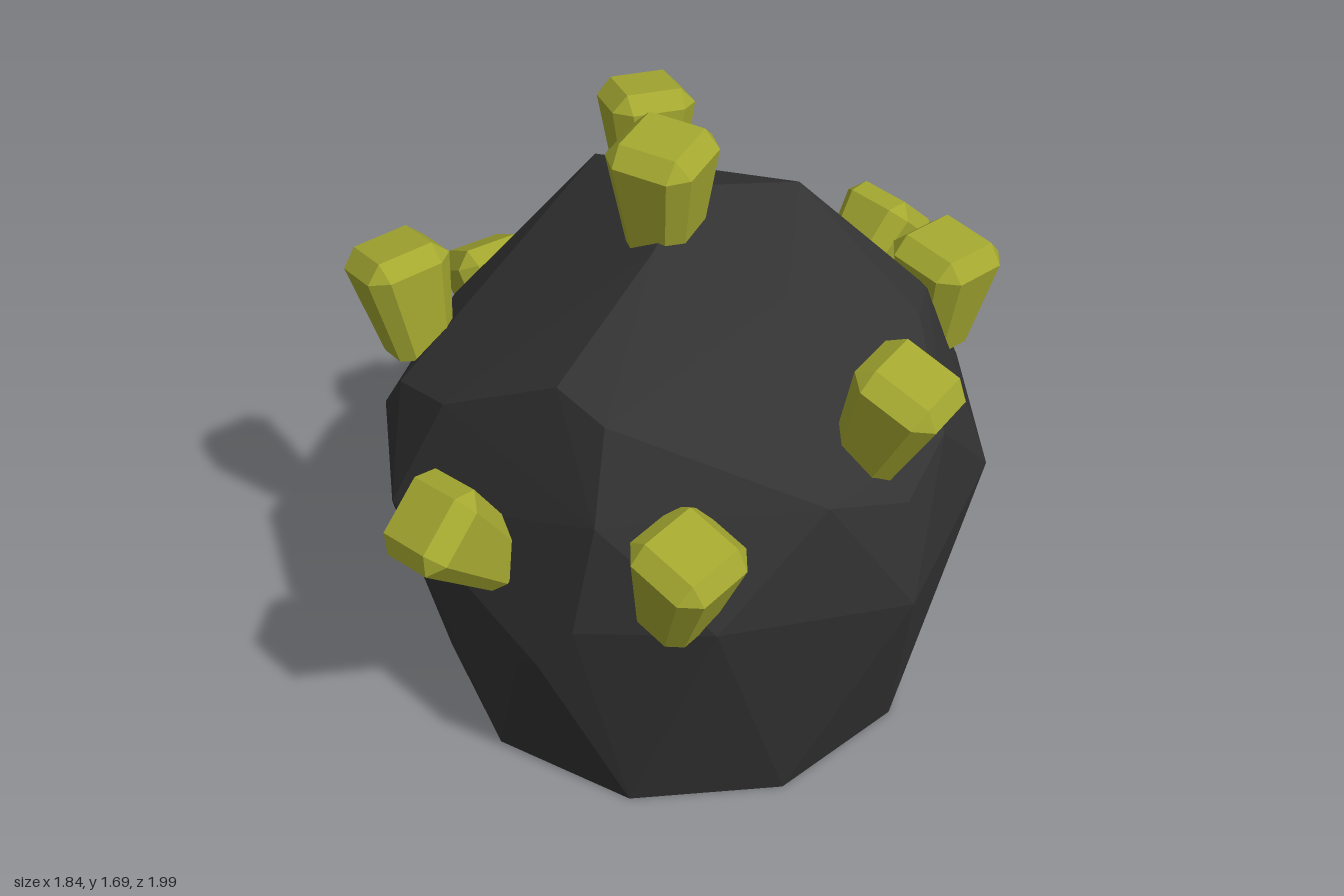
import * as THREE from 'three';
import { ConvexGeometry } from 'three/addons/geometries/ConvexGeometry.js';

const charcoal = new THREE.MeshStandardMaterial({ color: 0x333333 });
charcoal.name = 'charcoal';
const olive = new THREE.MeshStandardMaterial({ color: 0xa4a830 });
olive.name = 'olive';

const V = (x, y, z) => new THREE.Vector3(x, y, z);

// Faceted boulder: a ten-sided foot, a wider belt and an irregular cut dome
function makeBoulder() {
  const points = [];
  for (let i = 0; i < 10; i++) {
    const a = (i / 10) * Math.PI * 2;
    points.push(V(0.04 + 0.66 * Math.sin(a), 0, 0.04 + 0.66 * Math.cos(a)));
  }
  const belt = [
    [-0.22, 0.75, 0.8], [0.235, 0.5, 0.77], [0.32, 0.54, 0.77], [0.42, 0.7, 0.735],
    [0.69, 0.74, 0.51], [0.885, 0.68, 0.03], [0.69, 0.75, -0.445], [0.29, 0.72, -0.775],
    [-0.24, 0.69, -0.72], [-0.62, 0.67, -0.45], [-0.68, 0.52, -0.37], [-0.7, 0.52, -0.24],
    [-0.74, 0.71, 0.07], [-0.65, 0.68, 0.52],
  ];
  const dome = [
    [0, 1.46, -0.01], [0.12, 1.42, 0.2], [0.13, 1.42, -0.28], [0.41, 1.36, 0.03],
    [0.24, 1.28, 0.61], [0.4, 1.25, 0.6], [0.45, 1.02, 0.68], [-0.1, 1.08, 0.7],
    [-0.36, 0.98, 0.65], [-0.64, 0.93, 0.27], [-0.5, 1.28, -0.13], [-0.53, 1.03, -0.54],
    [0.56, 1.24, -0.28], [0.48, 1.22, -0.4], [0.79, 1.07, -0.14], [0.84, 0.98, 0.03],
    [0.78, 1.04, 0.24],
  ];
  for (const p of [...belt, ...dome]) points.push(V(...p));
  return new ConvexGeometry(points);
}

// Square with clipped corners, at height y
function clippedSquare(half, clip, y) {
  const ring = [];
  for (const s of [-1, 1]) for (const t of [-1, 1]) {
    ring.push(V(s * half, y, t * (half - clip)), V(s * (half - clip), y, t * half));
  }
  return ring;
}

// Flared knob with a bevelled top; its tip lies at the origin
function makeKnob(length) {
  return new ConvexGeometry([
    ...clippedSquare(0.08, 0.034, -length),
    ...clippedSquare(0.118, 0.045, -0.045),
    ...[[-1, -1], [-1, 1], [1, -1], [1, 1]].map(([s, t]) => V(s * 0.076, 0, t * 0.076)),
  ]);
}

export function createModel() {
  const group = new THREE.Group();
  group.name = 'knobbedBoulder';

  const boulder = new THREE.Mesh(makeBoulder(), charcoal);
  boulder.name = 'boulder';
  group.add(boulder);

  // Knobs: name, tip, root, roll
  const knobs = [
    ['topKnob', [0.06, 1.68, 0.12], [0.04, 1.36, 0.1], 0.35],
    ['backKnob', [-0.115, 0.97, -0.94], [-0.115, 0.74, -0.72], 0],
    ['frontKnob', [0.1, 0.98, 0.93], [0.12, 0.75, 0.73], 0.1],
    ['rightSideKnob', [-0.83, 0.9, 0.03], [-0.67, 0.62, 0.05], -0.2],
    ['leftSideKnob', [0.81, 1.33, 0], [0.7, 1.04, 0.03], 0.25],
    ['frontLeftKnob', [0.67, 1.05, 0.575], [0.58, 0.76, 0.55], 0.1],
    ['frontRightKnob', [-0.53, 1.26, 0.525], [-0.47, 0.97, 0.51], -0.15],
    ['backRightKnob', [-0.515, 1.42, -0.325], [-0.48, 1.12, -0.3], -0.4],
    ['backLeftKnob', [0.445, 1.3, -0.51], [0.42, 1.0, -0.5], 0],
  ];
  for (const [name, tip, root, roll] of knobs) {
    const end = V(...tip);
    const axis = end.clone().sub(V(...root));
    const knob = new THREE.Mesh(makeKnob(axis.length()), olive);
    knob.name = name;
    knob.position.copy(end);
    knob.quaternion.setFromUnitVectors(V(0, 1, 0), axis.normalize());
    knob.rotateY(roll);
    group.add(knob);
  }
  return group;
}
